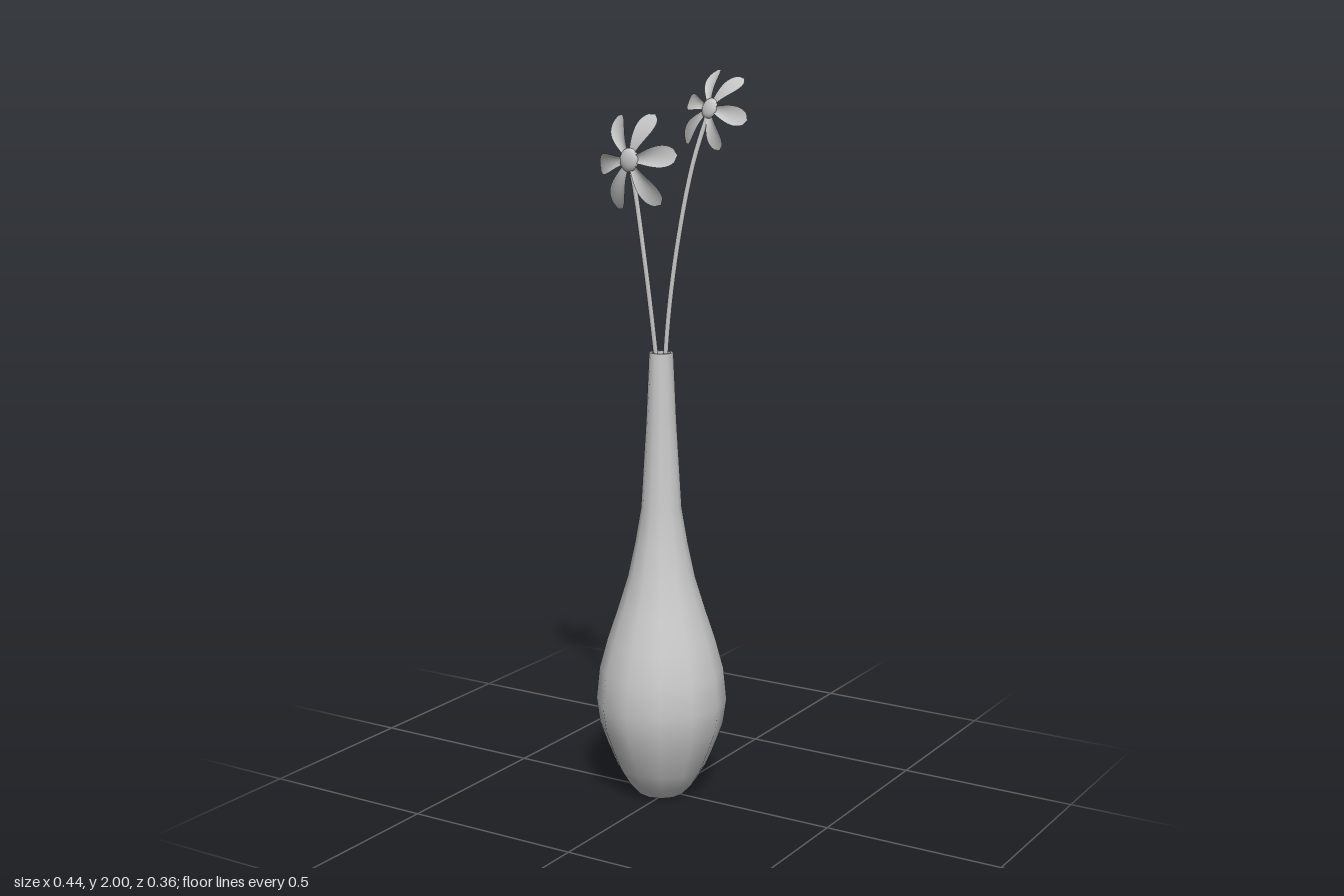
import * as THREE from 'three';
import { toCreasedNormals } from 'three/addons/utils/BufferGeometryUtils.js';
import { ParametricGeometry } from 'three/addons/geometries/ParametricGeometry.js';

const grey = new THREE.MeshStandardMaterial({ color: 0xcccccc });
const thinGrey = new THREE.MeshStandardMaterial({ color: 0xcccccc, side: THREE.DoubleSide });
const vec = (a) => new THREE.Vector3(...a);

function addMesh(parent, name, geometry, material = grey) {
  const mesh = new THREE.Mesh(geometry, material);
  mesh.name = name;
  parent.add(mesh);
  return mesh;
}

// Twelve-sided bottle vase: base, belly, neck, rim and the inside of the mouth
function makeVase(parent) {
  const profile = [
    [0, 0], [0.066, 0], [0.098, 0.035], [0.125, 0.08], [0.15, 0.14], [0.172, 0.2],
    [0.182, 0.27], [0.173, 0.36], [0.15, 0.445], [0.122, 0.53], [0.093, 0.625],
    [0.073, 0.72], [0.056, 0.82], [0.041, 1.07], [0.033, 1.25],
    [0.026, 1.25], [0.027, 1.1],
  ].map(([r, y]) => new THREE.Vector2(r, y));
  const geometry = toCreasedNormals(new THREE.LatheGeometry(profile, 12), 0.7);
  addMesh(parent, 'vase', geometry).position.x = -0.024;
}

// Petal half-width along its length: narrow root, broad rounded end
function petalWidth(t) {
  if (t > 0.72) return 0.2 * Math.sqrt(Math.max(0, 1 - ((t - 0.72) / 0.28) ** 2));
  return 0.06 + 0.14 * THREE.MathUtils.smoothstep(t, 0, 0.72);
}

// Thin petal from the flower centre to its tip, bowed towards the face of the flower
function petalGeometry(centre, tip, facing) {
  const along = tip.clone().sub(centre);
  const length = along.length();
  const side = facing.clone().cross(along).normalize();
  const out = along.clone().cross(side).normalize();
  return new ParametricGeometry((u, v, target) => {
    const s = 2 * u - 1;
    const bow = length * (0.28 * v * (1 - v) + 0.05 * s * s * Math.sin(Math.PI * v));
    target.copy(centre).addScaledVector(along, v)
      .addScaledVector(side, s * petalWidth(v) * length)
      .addScaledVector(out, bow);
  }, 6, 16);
}

function makeFlower(parent, { name, centre, facing, tips, stem, discRadius }) {
  const flower = new THREE.Group();
  flower.name = name;
  const middle = vec(centre);
  const normal = vec(facing).normalize();

  // Six petals
  tips.forEach((tip) => addMesh(flower, 'petal', petalGeometry(middle, vec(tip), normal), thinGrey));

  // Flattened round heart
  const disc = addMesh(flower, 'flowerCentre', new THREE.SphereGeometry(discRadius, 16, 10));
  disc.scale.z = 0.4;
  disc.position.copy(middle);
  disc.quaternion.setFromUnitVectors(new THREE.Vector3(0, 0, 1), normal);

  // Curved stem reaching down into the neck
  const path = new THREE.CatmullRomCurve3([...stem.map(vec), middle]);
  addMesh(flower, 'stem', new THREE.TubeGeometry(path, 24, 0.007, 8));
  const end = addMesh(flower, 'stemEnd', new THREE.CircleGeometry(0.007, 8), thinGrey);
  end.position.set(...stem[0]);
  end.rotation.x = Math.PI / 2;
  parent.add(flower);
}

export function createModel() {
  const model = new THREE.Group();
  model.name = 'vaseWithFlowers';
  makeVase(model);

  makeFlower(model, {
    name: 'lowerFlower',
    centre: [-0.09, 1.765, 0.053],
    facing: [-0.17, 0.04, 1],
    discRadius: 0.032,
    tips: [
      [-0.158, 1.878, 0.002], [-0.027, 1.885, 0.022], [0.055, 1.782, 0.046],
      [0.003, 1.65, 0.043], [-0.148, 1.632, 0.02], [-0.218, 1.744, 0],
    ],
    stem: [[-0.026, 1.0, -0.018], [-0.037, 1.25, 0.008], [-0.053, 1.48, 0.032], [-0.08, 1.7, 0.045]],
  });

  makeFlower(model, {
    name: 'upperFlower',
    centre: [0.095, 1.9, -0.05],
    facing: [-0.34, 0.35, 1],
    discRadius: 0.028,
    tips: [
      [0.078, 1.999, -0.122], [0.182, 1.977, -0.082], [0.218, 1.872, -0.034],
      [0.134, 1.792, -0.035], [0.01, 1.808, -0.07], [-0.004, 1.916, -0.108],
    ],
    stem: [[-0.018, 1.0, -0.004], [-0.01, 1.25, 0], [0.016, 1.5, -0.006], [0.058, 1.75, -0.024]],
  });

  return model;
}
